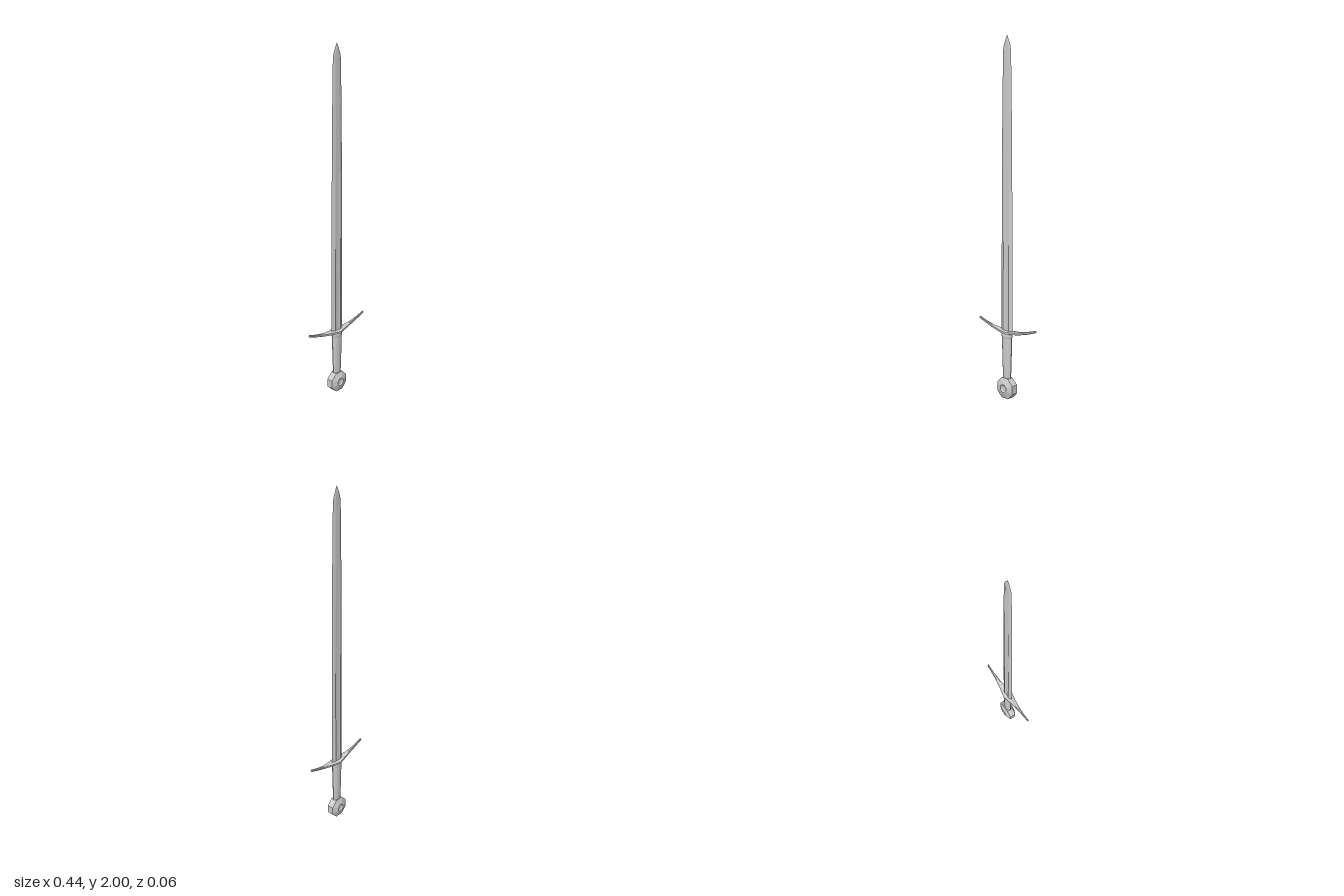
import * as THREE from 'three';
import { toCreasedNormals } from 'three/addons/utils/BufferGeometryUtils.js';

const material = new THREE.MeshStandardMaterial({ color: 0xcccccc });

function part(name, geometry, crease = 0.6) {
  const mesh = new THREE.Mesh(toCreasedNormals(geometry, crease), material);
  mesh.name = name;
  return mesh;
}

// Skin a series of rings (arrays of [x, y, z]) and cap both ends.
function loft(rings) {
  const n = rings[0].length;
  const index = [];
  for (let r = 0; r < rings.length - 1; r++) {
    for (let i = 0; i < n; i++) {
      const a = r * n + i, b = r * n + (i + 1) % n;
      index.push(a, b, b + n, a, b + n, a + n);
    }
  }
  const positions = rings.flat(2);
  [0, rings.length - 1].forEach((r, end) => {
    const centre = positions.length / 3;
    for (let k = 0; k < 3; k++) positions.push(rings[r].reduce((s, p) => s + p[k], 0) / n);
    for (let i = 0; i < n; i++) {
      const a = r * n + i, b = r * n + (i + 1) % n;
      index.push(centre, end ? a : b, end ? b : a);
    }
  });
  const geometry = new THREE.BufferGeometry();
  geometry.setAttribute('position', new THREE.Float32BufferAttribute(positions, 3));
  geometry.setIndex(index);
  return geometry;
}

// Blade section: sharp edges, bevels and a shallow fuller (0 = none).
function bladeRing([y, w, t, fuller]) {
  const half = [[w, 0], [w * 0.48, t], [w * 0.22, t * (1 - fuller)],
    [-w * 0.22, t * (1 - fuller)], [-w * 0.48, t]];
  return [...half.map(([x, z]) => [x, y, -z]), ...half.map(([x, z]) => [-x, y, z])];
}

// Elliptical section of the grip.
function ovalRing([y, w, d]) {
  return Array.from({ length: 16 }, (_, i) => {
    const a = i / 16 * Math.PI * 2;
    return [w * Math.cos(a), y, -d * Math.sin(a)];
  });
}

// Eight-sided section of the crossguard, following its upward curve.
function guardRing(x) {
  const s = Math.abs(x) / 0.22;
  const y = 0.382 + 0.046 * Math.pow(s, 1.8);
  const h = 0.0095 - 0.0035 * s;
  const d = 0.0045 + 0.0255 * Math.pow(1 - s, 2.2);
  const lean = Math.atan(0.38 * s) * Math.sign(x);
  return [[1, -0.6], [1, 0.6], [0.6, 1], [-0.6, 1], [-1, 0.6], [-1, -0.6], [-0.6, -1], [0.6, -1]]
    .map(([u, v]) => [x - u * h * Math.sin(lean), y + u * h * Math.cos(lean), v * d]);
}

export function createModel() {
  const sword = new THREE.Group();
  sword.name = 'sword';

  // y, half width, half thickness, fuller depth
  sword.add(part('blade', loft([
    [0.38, 0.043, 0.011, 0.3], [0.9, 0.041, 0.009, 0.3], [1.38, 0.038, 0.007, 0.25],
    [1.44, 0.0375, 0.0068, 0], [1.8, 0.032, 0.005, 0], [1.92, 0.029, 0.004, 0],
    [1.945, 0.025, 0.0036, 0], [1.975, 0.013, 0.0025, 0], [2, 0.0008, 0.0005, 0],
  ].map(bladeRing)), 0.25));

  const steps = 24;
  const guard = Array.from({ length: steps + 1 }, (_, i) => guardRing((i / steps * 2 - 1) * 0.217));
  sword.add(part('crossguard', loft(guard)));

  // Grip swelling towards the guard
  sword.add(part('grip', loft([
    [0.11, 0.026, 0.015], [0.125, 0.028, 0.016], [0.2, 0.031, 0.0175],
    [0.3, 0.034, 0.019], [0.352, 0.035, 0.0195],
  ].map(ovalRing))));
  sword.add(part('gripCollar', loft([
    [0.35, 0.035, 0.02], [0.354, 0.037, 0.0215], [0.366, 0.037, 0.0215], [0.376, 0.034, 0.019],
  ].map(ovalRing))));

  // Octagonal wheel pommel, dished on both faces
  const face = [[0, 0.025], [0.015, 0.026], [0.024, 0.032], [0.03, 0.032], [0.0635, 0.019]];
  const profile = [...face.map(([r, z]) => [r, -z]), ...[...face].reverse()]
    .map(([r, z]) => new THREE.Vector2(r, z));
  const wheel = new THREE.LatheGeometry(profile, 8, Math.PI / 8);
  wheel.rotateX(Math.PI / 2);
  wheel.translate(0, 0.0587, 0);
  sword.add(part('pommel', wheel, 0.2));

  return sword;
}
